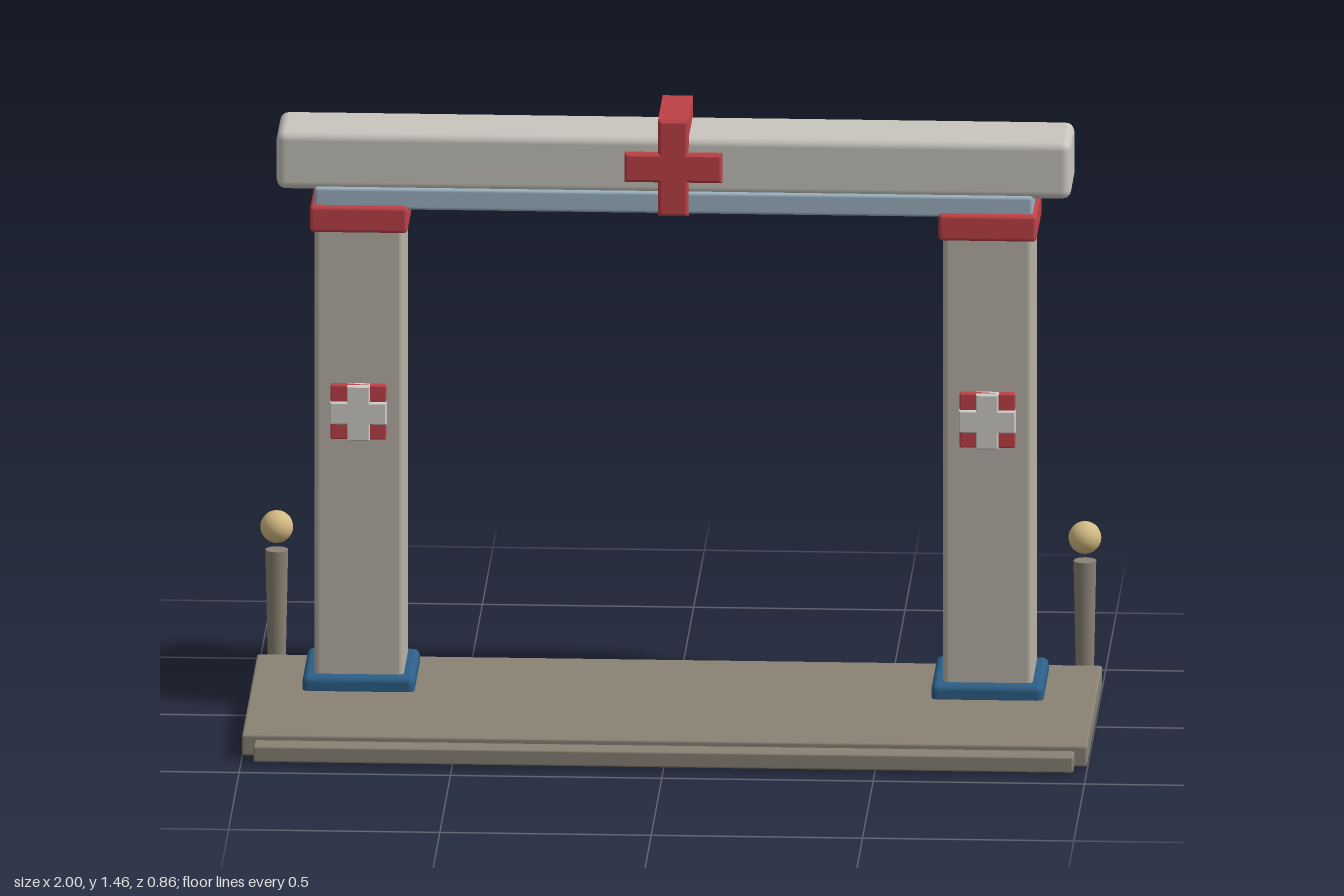
import * as THREE from 'three';
import { RoundedBoxGeometry } from 'three/addons/geometries/RoundedBoxGeometry.js';

const mat = (color) => new THREE.MeshStandardMaterial({ color });
const stone = mat(0xc9c6be), pillarStone = mat(0xb9b2a7), floor = mat(0x8a8274),
  red = mat(0xbf4247), blue = mat(0x2d6088), paleBlue = mat(0x9db3c2),
  gold = mat(0xd4bb84), white = mat(0xd2d0cb);

export function createModel() {
  const model = new THREE.Group();

  const add = (name, geometry, material, x = 0, y = 0, z = 0, parent = model) => {
    const mesh = new THREE.Mesh(geometry, material);
    mesh.name = name;
    mesh.position.set(x, y, z);
    parent.add(mesh);
    return mesh;
  };

  // Softened box given by its min/max extents
  const block = (name, material, [x0, x1], [y0, y1], [z0, z1], bevel, parent) =>
    add(name, new RoundedBoxGeometry(x1 - x0, y1 - y0, z1 - z0, 2, bevel), material,
      (x0 + x1) / 2, (y0 + y1) / 2, (z0 + z1) / 2, parent);

  // Plus-shaped prism centred on its own origin
  const crossGeometry = (halfW, up, down, arm, depth, bevel) => {
    const s = new THREE.Shape([
      [-arm, -down], [arm, -down], [arm, -arm], [halfW, -arm], [halfW, arm], [arm, arm],
      [arm, up], [-arm, up], [-arm, arm], [-halfW, arm], [-halfW, -arm], [-arm, -arm],
    ].map(([x, y]) => new THREE.Vector2(x, y)));
    return new THREE.ExtrudeGeometry(s, {
      depth: depth - 2 * bevel, bevelSize: bevel, bevelThickness: bevel,
      bevelOffset: -bevel, bevelSegments: 1,
    }).translate(0, 0, bevel - depth / 2);
  };

  // Platform, front step and underside panel
  block('platform', floor, [-1, 1], [0.006, 0.058], [-0.335, 0.375], 0.006);
  block('frontStep', floor, [-0.97, 0.97], [0.006, 0.045], [0.3, 0.43], 0.005);
  add('undersidePanel', new THREE.BoxGeometry(0.86, 0.01, 0.19), floor, -0.03, 0.005, -0.06);

  // Lintel, the strip under it and the central cross passing through it
  block('lintel', stone, [-0.94, 0.94], [1.275, 1.418], [-0.25, -0.052], 0.022);
  block('lintelStrip', paleBlue, [-0.85, 0.85], [1.232, 1.285], [-0.25, -0.046], 0.008);
  add('lintelCross', crossGeometry(0.116, 0.118, 0.118, 0.036, 0.228, 0.007), red, 0, 1.346, -0.15);

  for (const side of [-1, 1]) {
    const label = side > 0 ? 'left' : 'right';

    // Pillar with base, cap and front plaque
    const pillar = new THREE.Group();
    pillar.name = label + 'Pillar';
    pillar.position.x = side * 0.744;
    model.add(pillar);
    block('pillarShaft', pillarStone, [-0.106, 0.106], [0.06, 1.2], [-0.256, -0.04], 0.014, pillar);
    block('pillarCap', red, [-0.116, 0.116], [1.178, 1.243], [-0.265, -0.03], 0.01, pillar);
    block('pillarBase', blue, [-0.133, 0.133], [0.045, 0.094], [-0.283, -0.015], 0.016, pillar);
    block('plaque', red, [-0.066, 0.066], [0.675, 0.808], [-0.05, -0.02], 0.004, pillar);
    add('plaqueCross', crossGeometry(0.067, 0.067, 0.067, 0.027, 0.036, 0.003), white,
      0, 0.741, -0.028, pillar);

    // Rear post with a ball floating just above it
    const post = new THREE.Group();
    post.name = label + 'Post';
    post.position.set(side * 0.956, 0, -0.395);
    model.add(post);
    add('postShaft', new THREE.CylinderGeometry(0.027, 0.021, 0.29, 16), floor, 0, 0.153, 0, post);
    add('postBall', new THREE.SphereGeometry(0.039, 20, 14), gold, 0, 0.354, 0, post);
  }

  return model;
}
